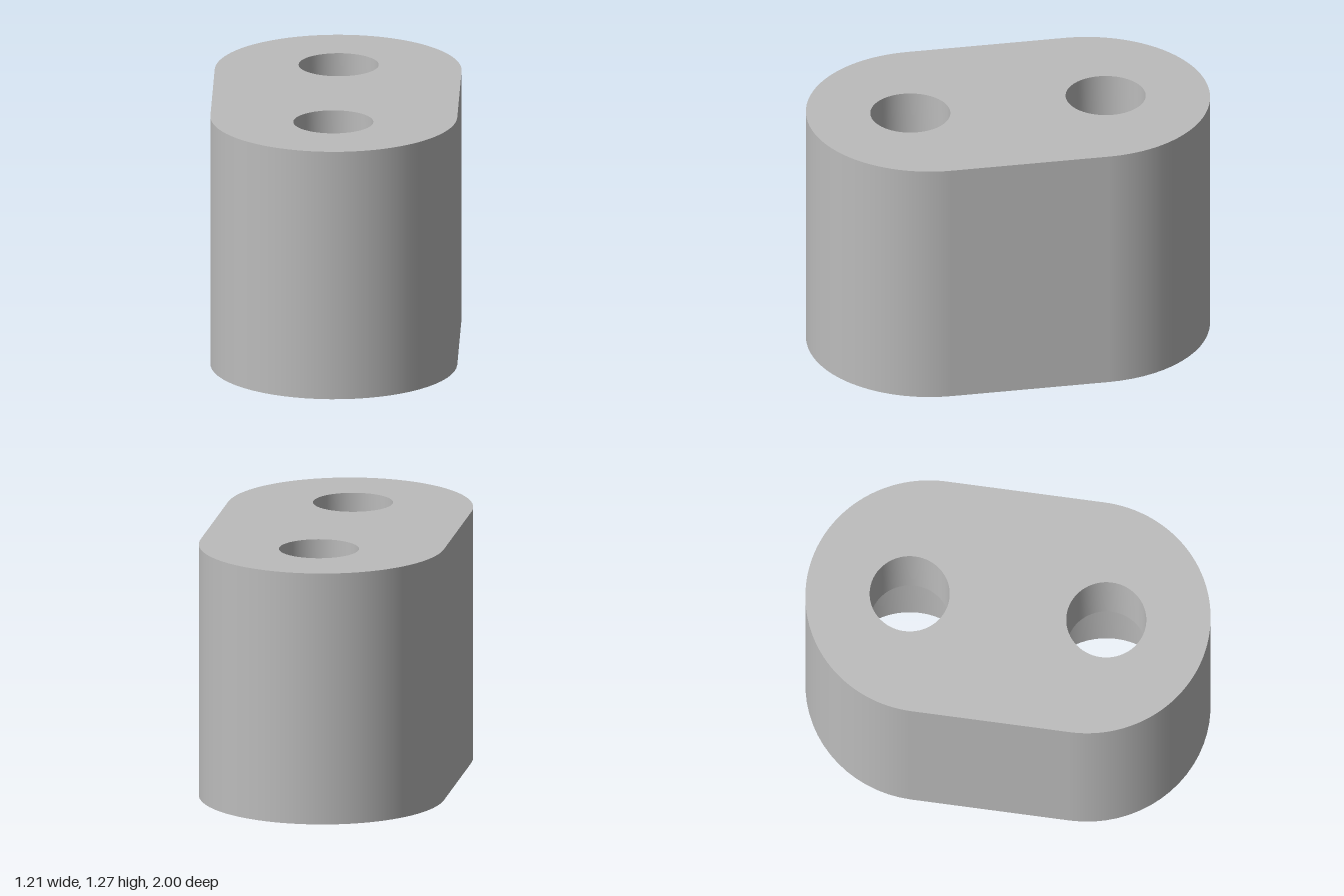
import * as THREE from 'three';
import { toCreasedNormals } from 'three/addons/utils/BufferGeometryUtils.js';

const R = 0.607;          // radius of the rounded ends
const C = 1 - R;          // centre of each rounded end along z
const H = 1.27;           // height
const HOLE_Z = 0.488;     // hole centres along z
const HOLE_R = 0.197;     // narrow hole, open at the top
const BORE_R = 0.366;     // wide counterbore, open at the bottom
const STEP_Y = 0.85;      // shoulder between bore and hole
const SEG = 64;

// Stadium outline with two round holes
function capGeometry(holeRadius) {
  const shape = new THREE.Shape();
  shape.absarc(0, C, R, 0, Math.PI, false);
  shape.absarc(0, -C, R, Math.PI, 2 * Math.PI, false);
  shape.closePath();
  for (const s of [1, -1]) {
    shape.holes.push(new THREE.Path().absarc(0, s * HOLE_Z, holeRadius, 0, 2 * Math.PI, true));
  }
  return new THREE.ShapeGeometry(shape, SEG / 2);
}

export function createModel() {
  const group = new THREE.Group();
  group.name = 'spacerBlock';
  const grey = new THREE.MeshStandardMaterial({ color: 0xbcbcbc });
  grey.name = 'grey';

  const add = (name, geometry, x = 0, y = 0, z = 0) => {
    const mesh = new THREE.Mesh(geometry, grey);
    mesh.name = name;
    mesh.position.set(x, y, z);
    group.add(mesh);
    return mesh;
  };

  // Top and bottom faces
  add('topFace', capGeometry(HOLE_R).rotateX(-Math.PI / 2), 0, H, 0);
  add('bottomFace', capGeometry(BORE_R).rotateX(Math.PI / 2));

  // Stepped hole lining, listed downwards so it faces its axis
  const profile = [[HOLE_R, H], [HOLE_R, STEP_Y], [BORE_R, STEP_Y], [BORE_R, 0]]
    .map(([r, y]) => new THREE.Vector2(r, y));
  const lining = toCreasedNormals(new THREE.LatheGeometry(profile, SEG), 0.6);

  for (const s of [1, -1]) {
    const end = s > 0 ? 'front' : 'back';
    const side = s > 0 ? 'left' : 'right';
    // Rounded end wall
    const arc = new THREE.CylinderGeometry(R, R, H, SEG / 2, 1, true, -Math.PI / 2, Math.PI);
    if (s < 0) arc.rotateY(Math.PI);
    add(end + 'RoundedWall', arc, 0, H / 2, s * C);
    // Flat side wall
    add(side + 'FlatWall', new THREE.PlaneGeometry(2 * C, H).rotateY(s * Math.PI / 2), s * R, H / 2, 0);
    // Counterbored screw hole
    add(end + 'ScrewHole', lining, 0, 0, s * HOLE_Z);
  }
  return group;
}
